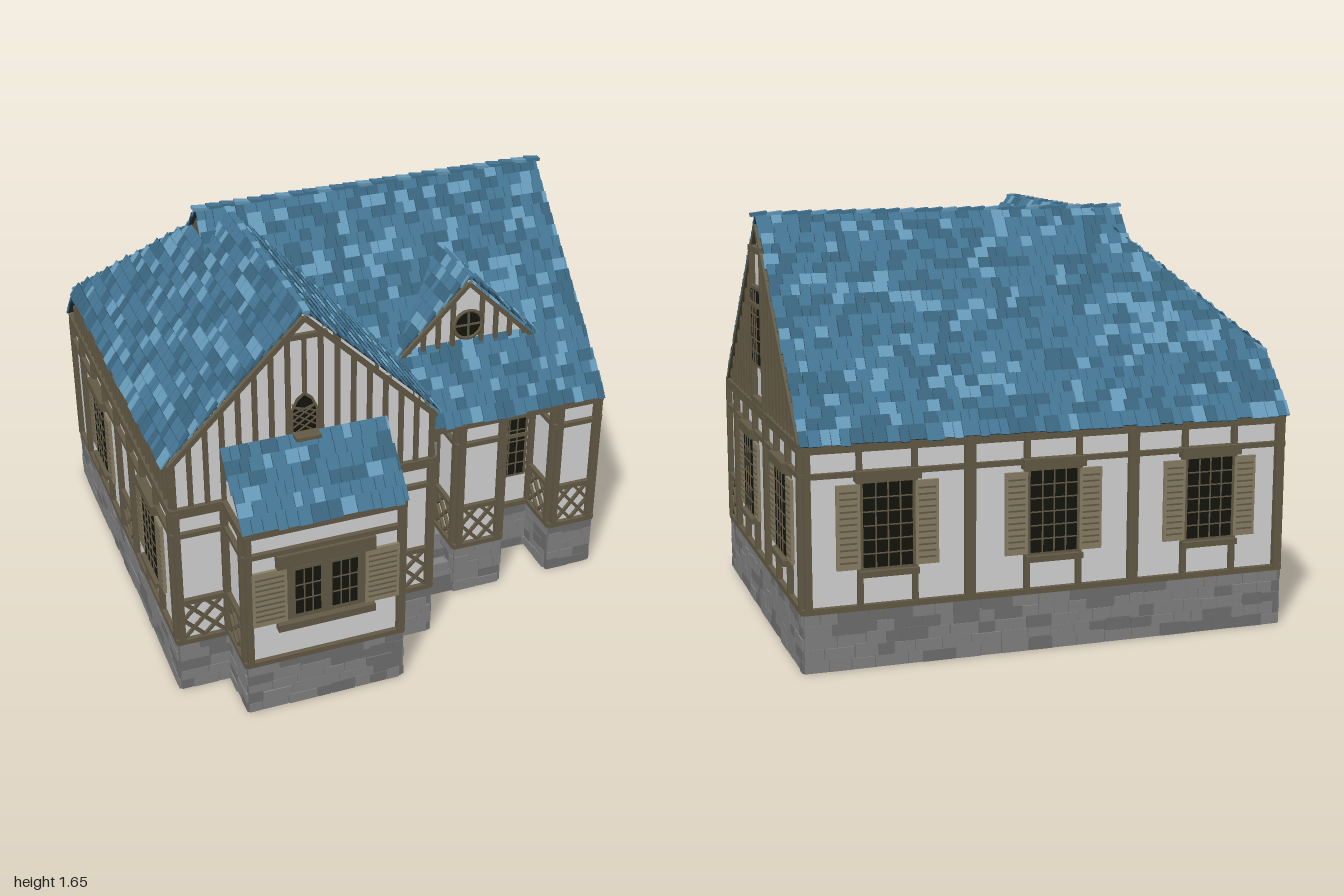
import * as THREE from 'three';
import { mergeGeometries } from 'three/addons/utils/BufferGeometryUtils.js';

const mat = (name, color, side = THREE.FrontSide) => {
  const m = new THREE.MeshStandardMaterial({ color, side });
  m.name = name;
  return m;
};

export function createModel() {
  const M = {
    plaster: mat('plaster', 0xdad9d9, THREE.DoubleSide),
    timber: mat('timber', 0x655c47),
    shutter: mat('shutter', 0x8d8269),
    stone: mat('stone', 0x848484),
    stoneDark: mat('darkStone', 0x727272),
    slate: mat('slate', 0x457796),
    slateLight: mat('lightSlate', 0x689dbc),
    slateDark: mat('darkSlate', 0x3a6680),
    seam: mat('seam', 0x2b3f4a, THREE.DoubleSide),
    glass: mat('glass', 0x15150f),
  };
  let seed = 7;
  const rnd = () => (seed = (seed * 16807) % 2147483647) / 2147483647;
  const V = (x, y, z) => new THREE.Vector3(x, y, z);

  // Collect geometry per part and colour, merged at the end
  const parts = new Map();
  const add = (name, m, geo) => {
    const key = name + '|' + m;
    if (!parts.has(key)) parts.set(key, []);
    parts.get(key).push(geo);
  };

  // A wall face: u runs along the wall, v is up, w is outward from distance d
  const face = (name, turn, d) => ({ name, d, rot: new THREE.Matrix4().makeRotationY(turn * Math.PI / 2) });
  const put = (f, part, m, geo, u = 0, v = 0, w = 0) =>
    add(f.name + part, m, geo.translate(u, v, f.d + w).applyMatrix4(f.rot));
  const box = (f, part, m, u0, u1, v0, v1, w0, w1) =>
    put(f, part, m, new THREE.BoxGeometry(u1 - u0, v1 - v0, w1 - w0), (u0 + u1) / 2, (v0 + v1) / 2, (w0 + w1) / 2);
  const bar = (f, part, m, u0, v0, u1, v1, width, w) =>
    put(f, part, m, new THREE.BoxGeometry(Math.hypot(u1 - u0, v1 - v0), width, w)
      .rotateZ(Math.atan2(v1 - v0, u1 - u0)), (u0 + u1) / 2, (v0 + v1) / 2, w / 2);
  const shape = pts => new THREE.ShapeGeometry(new THREE.Shape(pts.map(p => new THREE.Vector2(p[0], p[1]))));
  const wall = (f, pts, m = 'plaster') => put(f, 'Wall', m, shape(pts));

  // Rubble foundation: rows of uneven stones on a dark bed
  const stones = (f, u0, u1, top = 0.225) => {
    box(f, 'Foundation', 'stoneDark', u0 - 0.008, u1 + 0.008, 0, top, 0, 0.01);
    const rows = Math.round(top / 0.045), h = top / rows;
    for (let r = 0; r < rows; r++) {
      for (let u = u0 - 0.01; u < u1;) {
        const e = Math.min(u1 + 0.01, u + 0.05 + rnd() * 0.08), j = rnd() * 0.012;
        if (e - u > 0.02) box(f, 'Foundation', rnd() < 0.3 ? 'stoneDark' : 'stone', u + 0.002, e - 0.002,
          r * h + 0.002, Math.min(top, (r + 1) * h - 0.002 + j), 0.01, 0.014 + rnd() * 0.005);
        u = e;
      }
    }
  };
  const rails = (f, u0, u1) => [[0.225, 0.247], [0.732, 0.752], [0.825, 0.865]].forEach(([a, b]) =>
    box(f, 'Timber', 'timber', u0 - 0.012, u1 + 0.012, a, b, 0, 0.02));
  const posts = (f, us, width = 0.026, v0 = 0.235, v1 = 0.845) => us.forEach(u =>
    box(f, 'Timber', 'timber', u - width / 2, u + width / 2, v0, v1, -0.005, 0.023));
  // Crossed panel below the window line
  const lattice = (f, u0, u1) => {
    const a = 0.247, b = 0.425, cu = (u0 + u1) / 2, cv = (a + b) / 2;
    box(f, 'Timber', 'timber', u0, u1, 0.415, 0.437, 0, 0.019);
    [[u0, a, u1, b], [u0, b, u1, a], [u0, cv, cu, b], [cu, b, u1, cv], [u1, cv, cu, a], [cu, a, u0, cv]]
      .forEach((p, i) => bar(f, 'Lattice', 'timber', ...p, 0.013, 0.012 + (i % 2) * 0.002));
  };
  const studs = (f, u0, u1, step, top, skip = () => false) => {
    const n = Math.round((u1 - u0) / step);
    for (let i = 0; i <= n; i++) {
      const u = u0 + (u1 - u0) * i / n;
      if (!skip(u) && top(u) > 0.9) box(f, 'Studs', 'timber', u - 0.0095, u + 0.0095, 0.86, top(u), 0, 0.013);
    }
  };
  // Glazed window with glazing bars
  const glazing = (f, u, v0, v1, w, cols, rows) => {
    box(f, 'Windows', 'timber', u - w / 2, u + w / 2, v0, v1, -0.02, 0.02);
    const a = u - w / 2 + 0.014, b = u + w / 2 - 0.014, c = v0 + 0.014, d = v1 - 0.014;
    box(f, 'Windows', 'glass', a, b, c, d, 0.02, 0.024);
    for (let i = 1; i < cols; i++) bar(f, 'Windows', 'timber', a + (b - a) * i / cols, c, a + (b - a) * i / cols, d, 0.005, 0.028);
    for (let i = 1; i < rows; i++) bar(f, 'Windows', 'timber', a, c + (d - c) * i / rows, b, c + (d - c) * i / rows, 0.005, 0.027);
  };
  const shutter = (f, u0, u1, v0, v1) => {
    box(f, 'Shutters', 'shutter', u0, u1, v0, v1, 0.012, 0.024);
    for (let v = v0 + 0.025; v < v1 - 0.02; v += 0.024)
      box(f, 'Shutters', 'timber', u0 + 0.012, u1 - 0.012, v, v + 0.006, 0.024, 0.028);
  };
  const shuttered = (f, u) => {
    posts(f, [u - 0.105, u + 0.105], 0.02);
    glazing(f, u, 0.375, 0.72, 0.215, 4, 6);
    for (const s of [-1, 1]) shutter(f, u + s * 0.15 - 0.045, u + s * 0.15 + 0.045, 0.385, 0.705);
    box(f, 'Windows', 'timber', u - 0.125, u + 0.125, 0.715, 0.755, 0, 0.04);
    box(f, 'Windows', 'timber', u - 0.115, u + 0.115, 0.355, 0.378, 0, 0.04);
  };

  // Wing front with its gable
  const wing = face('wingFront', 0, 0.73);
  const wingTop = u => 1.585 - Math.abs(u + 0.43) * 0.98;
  wall(wing, [[-0.96, 0], [-0.75, 0], [-0.75, 0.86], [-0.12, 0.86], [-0.12, 0], [0.1, 0], [0.1, 1.07], [-0.43, 1.6], [-0.96, 1.07]]);
  stones(wing, -0.96, -0.75); stones(wing, -0.12, 0.1);
  rails(wing, -0.96, 0.1);
  posts(wing, [-0.955, -0.765, -0.105, 0.095]);
  lattice(wing, -0.945, -0.775); lattice(wing, -0.095, 0.085);
  studs(wing, -0.955, 0.095, 0.066, wingTop, u => Math.abs(u + 0.43) < 0.06);
  bar(wing, 'Timber', 'timber', -0.43, 1.27, -0.43, 1.5, 0.016, 0.013);
  box(wing, 'Timber', 'timber', -0.52, -0.34, 1.5, 1.52, 0, 0.018);
  for (const s of [-1, 1]) bar(wing, 'Timber', 'timber', -0.43, 1.585, -0.43 + s * 0.54, 1.055, 0.02, 0.02);
  const arch = (k, b) => [[-k, b], [k, b], [k, 0.1], [k * 0.6, 0.1 + k * 0.9], [0, 0.1 + k * 1.4], [-k * 0.6, 0.1 + k * 0.9], [-k, 0.1]];
  put(wing, 'ArchWindow', 'timber', shape(arch(0.056, 0)), -0.435, 1.1, 0.015);
  put(wing, 'ArchWindow', 'glass', shape(arch(0.045, 0.01)), -0.435, 1.1, 0.018);
  for (let i = 0; i < 4; i++) for (const s of [-1, 1])
    bar(wing, 'ArchWindow', 'timber', -0.435 - s * 0.045, 1.1 + i * 0.03, -0.435 + s * 0.045, 1.16 + i * 0.03 - (i > 2 ? 0.03 : 0), 0.005, 0.022);
  box(wing, 'ArchWindow', 'timber', -0.485, -0.385, 1.095, 1.11, 0, 0.07);

  // Bay with its wide shuttered window
  const bay = face('bayFront', 0, 0.96);
  wall(bay, [[-0.75, 0], [-0.12, 0], [-0.12, 0.86], [-0.75, 0.86]]);
  stones(bay, -0.75, -0.12); rails(bay, -0.75, -0.12);
  posts(bay, [-0.745, -0.125]);
  box(bay, 'Windows', 'timber', -0.6, -0.27, 0.42, 0.67, -0.02, 0.018);
  for (const u of [-0.51, -0.36]) glazing(bay, u, 0.43, 0.66, 0.13, 3, 3);
  shutter(bay, -0.735, -0.595, 0.42, 0.67); shutter(bay, -0.275, -0.135, 0.42, 0.67);
  box(bay, 'Windows', 'timber', -0.635, -0.235, 0.67, 0.73, 0, 0.03);
  box(bay, 'Windows', 'timber', -0.635, -0.235, 0.38, 0.412, 0, 0.035);
  for (const [turn, d, s] of [[1, -0.12, -1], [-1, 0.75, 1]]) {
    const f = face('baySide', turn, d), a = Math.min(s * 0.73, s * 0.96), b = a + 0.23;
    wall(f, [[s * 0.73, 0], [s * 0.96, 0], [s * 0.96, 0.86], [s * 0.73, 1.08]]);
    stones(f, a, b); rails(f, a, b); posts(f, [a + 0.01, b - 0.01]); lattice(f, a + 0.02, b - 0.02);
  }

  // Wing return wall beside the porch
  const ret = face('wingReturn', 1, 0.1);
  wall(ret, [[-0.73, 0], [-0.31, 0], [-0.31, 1.07], [-0.73, 1.07]]);
  stones(ret, -0.73, -0.31); rails(ret, -0.73, -0.31);
  posts(ret, [-0.72, -0.53, -0.32]); lattice(ret, -0.71, -0.54);
  studs(ret, -0.72, -0.54, 0.06, () => 1.07);

  // Main front wall, dormer gable, door and steps
  const main = face('mainFront', 0, 0.31);
  wall(main, [[0.1, 0], [0.96, 0], [0.96, 1.07], [0.74, 1.08], [0.43, 1.39], [0.11, 1.08]]);
  stones(main, 0.52, 0.77); rails(main, 0.1, 0.96);
  posts(main, [0.115, 0.315, 0.53, 0.76]);
  glazing(main, 0.645, 0.39, 0.7, 0.18, 4, 5);
  box(main, 'Windows', 'timber', 0.555, 0.735, 0.595, 0.612, 0.02, 0.032);
  studs(main, 0.17, 0.69, 0.065, u => 1.38 - Math.abs(u - 0.43), u => Math.abs(u - 0.43) < 0.05);
  for (const s of [-1, 1]) bar(main, 'DormerTrim', 'timber', 0.43, 1.375, 0.43 + s * 0.31, 1.07, 0.018, 0.02);
  put(main, 'RoundWindow', 'glass', new THREE.CircleGeometry(0.062, 24), 0.43, 1.19, 0.016);
  put(main, 'RoundWindow', 'timber', new THREE.TorusGeometry(0.063, 0.008, 6, 24), 0.43, 1.19, 0.016);
  bar(main, 'RoundWindow', 'timber', 0.37, 1.19, 0.49, 1.19, 0.009, 0.02);
  bar(main, 'RoundWindow', 'timber', 0.43, 1.13, 0.43, 1.25, 0.009, 0.021);
  box(main, 'DoorFrame', 'stone', 0.125, 0.302, 0.225, 0.65, -0.01, 0.03);
  box(main, 'Door', 'timber', 0.145, 0.29, 0.225, 0.625, 0.03, 0.038);
  box(main, 'DoorHandle', 'glass', 0.262, 0.272, 0.39, 0.45, 0.038, 0.05);
  [[0.22, 0.09], [0.175, 0.135], [0.13, 0.18], [0.09, 0.215]].forEach(([v, w], i) =>
    box(main, 'Steps', i % 2 ? 'stoneDark' : 'stone', 0.11, 0.32, v - 0.045 - (i === 3 ? 0.045 : 0), v, 0, w));

  // Two porch piers carrying the low eave
  const pier = face('pierFront', 0, 0.52);
  for (const [a, b] of [[0.32, 0.52], [0.77, 0.96]]) {
    wall(pier, [[a, 0], [b, 0], [b, 0.86], [a, 0.86]]);
    stones(pier, a, b); posts(pier, [a + 0.01, b - 0.01]); rails(pier, a, b); lattice(pier, a + 0.02, b - 0.02);
    for (const [turn, d, s] of [[1, b, -1], [-1, -a, 1]]) {
      if (d === 0.96) continue;
      const f = face('pierSide', turn, d), lo = Math.min(s * 0.31, s * 0.52), hi = lo + 0.21;
      wall(f, [[s * 0.31, 0], [s * 0.52, 0], [s * 0.52, 0.86], [s * 0.31, 1.07]]);
      stones(f, lo, hi); rails(f, lo, hi); posts(f, [lo + 0.01, hi - 0.01]); lattice(f, lo + 0.02, hi - 0.02);
    }
  }
  box(pier, 'EaveBeam', 'timber', 0.1, 0.96, 0.825, 0.86, -0.02, 0.02);

  // Right side with the big gable
  const right = face('right', 1, 0.96);
  const rightTop = u => 1.6 - Math.abs(u - 0.22);
  wall(right, [[-0.52, 0], [0.96, 0], [0.96, 0.86], [0.22, 1.6], [-0.52, 0.86]]);
  stones(right, -0.52, 0.96); rails(right, -0.52, 0.96);
  posts(right, [-0.51, 0.95]); posts(right, [-0.32, 0.33], 0.04);
  lattice(right, -0.5, -0.34); shuttered(right, 0); shuttered(right, 0.65);
  studs(right, -0.45, 0.89, 0.067, rightTop, u => Math.abs(u - 0.22) < 0.1);
  posts(right, [0.115, 0.325], 0.02, 0.86, 1.49);
  box(right, 'Timber', 'timber', 0.11, 0.33, 1.485, 1.51, 0, 0.026);
  box(right, 'Timber', 'timber', 0.11, 0.33, 0.875, 0.9, 0, 0.026);
  glazing(right, 0.22, 1.03, 1.35, 0.18, 4, 6);
  box(right, 'Windows', 'timber', 0.13, 0.31, 1.27, 1.287, 0.02, 0.032);
  for (const s of [-1, 1]) bar(right, 'Timber', 'timber', 0.22, 1.59, 0.22 + s * 0.74, 0.85, 0.02, 0.02);

  // Back wall
  const back = face('back', 2, 0.96);
  wall(back, [[-0.96, 0], [0.96, 0], [0.96, 0.86], [-0.96, 0.86]]);
  stones(back, -0.96, 0.96); rails(back, -0.96, 0.96);
  posts(back, [-0.95, 0.95]); posts(back, [-0.33, 0.33], 0.04);
  [-0.65, 0, 0.65].forEach(u => shuttered(back, u));

  // Left wall, taller under the wing eave
  const left = face('left', -1, 0.96);
  wall(left, [[-0.96, 0], [0.73, 0], [0.73, 1.07], [-0.76, 1.07], [-0.96, 0.86]]);
  stones(left, -0.96, 0.73); rails(left, -0.96, 0.73);
  posts(left, [-0.95, -0.76, -0.12, 0.1, 0.72]);
  lattice(left, -0.11, 0.09); shuttered(left, -0.43); shuttered(left, 0.41);
  studs(left, -0.94, 0.72, 0.067, u => Math.min(1.07, 1.82 + u));
  wall(face('gablet', -1, 0.545), [[-0.36, 1.48], [-0.08, 1.48], [-0.22, 1.62]], 'timber');

  // Shingled roof slope over a planar polygon; axis is the direction of the courses
  const slope = (name, pts, axis) => {
    const P = pts.map(p => V(...p)), O = P[0], N = V(0, 0, 0);
    P.forEach((p, i) => N.add(p.clone().cross(P[(i + 1) % P.length])));
    N.normalize();
    if (N.y < 0) N.negate();
    const A = axis.clone(), S = N.clone().cross(A);
    if (S.y < 0) { A.negate(); S.negate(); }
    const q = P.map(p => p.clone().sub(O)).map(p => [p.dot(A), p.dot(S)]);
    const B = new THREE.Matrix4().makeBasis(A, S, N).setPosition(O);
    add(name, 'seam', shape(q).applyMatrix4(B));
    const t0 = Math.min(...q.map(p => p[1])), t1 = Math.max(...q.map(p => p[1]));
    const rows = Math.round((t1 - t0) / 0.052), h = (t1 - t0) / rows;
    for (let r = 0; r < rows; r++) {
      const t = t0 + (r + 0.5) * h, xs = [];
      q.forEach((a, i) => {
        const b = q[(i + 1) % q.length];
        if ((a[1] > t) !== (b[1] > t)) xs.push(a[0] + (b[0] - a[0]) * (t - a[1]) / (b[1] - a[1]));
      });
      const hi = Math.max(...xs);
      for (let u = Math.min(...xs) - rnd() * 0.01; u < hi;) {
        const e = Math.min(hi + 0.006, u + 0.032 + rnd() * 0.036), k = rnd(), drop = rnd() * 0.012;
        if (e - u > 0.006) add(name, k < 0.18 ? 'slateLight' : k < 0.5 ? 'slateDark' : 'slate',
          new THREE.BoxGeometry(e - u - 0.003, h + 0.008 + drop, 0.007).rotateX(0.14 + rnd() * 0.06)
            .translate((u + e) / 2, t - drop / 2, 0.009).applyMatrix4(B));
        u = e;
      }
    }
  };
  const X = V(1, 0, 0), Z = V(0, 0, 1);
  slope('backRoof', [[0.97, 0.86, -0.985], [-0.98, 0.86, -0.985], [-0.98, 1.065, -0.78], [-0.56, 1.485, -0.36], [-0.56, 1.625, -0.22], [0.97, 1.625, -0.22]], X);
  slope('frontRoof', [[0.12, 0.86, 0.545], [0.97, 0.86, 0.545], [0.97, 1.625, -0.22], [-0.56, 1.625, -0.22], [-0.56, 1.485, -0.08], [0.12, 1.075, 0.33]], X);
  slope('wingRoofLeft', [[-0.99, 1.07, 0.75], [-0.43, 1.615, 0.75], [-0.43, 1.615, -0.22], [-0.56, 1.488, -0.36], [-0.99, 1.07, -0.78]], Z);
  slope('wingRoofRight', [[0.12, 1.08, 0.75], [-0.43, 1.615, 0.75], [-0.43, 1.615, -0.22], [0.12, 1.08, 0.33]], Z);
  slope('bayRoof', [[-0.765, 0.86, 0.98], [-0.105, 0.86, 0.98], [-0.105, 1.09, 0.74], [-0.765, 1.09, 0.74]], X);
  for (const s of [-1, 1]) slope('dormerRoof', [[0.43 + s * 0.325, 1.085, 0.33], [0.43, 1.405, 0.33], [0.43, 1.405, 0]], Z);

  // Ridge and hip caps
  const caps = (a, b, width) => {
    const d = b.clone().sub(a), n = Math.round(d.length() / 0.06), step = d.length() / n;
    const z = d.clone().normalize(), x = V(0, 1, 0).cross(z).normalize();
    for (let i = 0; i < n; i++) add('ridgeCaps', i % 3 ? 'slate' : 'slateLight',
      new THREE.BoxGeometry(width, 0.014, step + 0.006).rotateX(0.12).applyMatrix4(
        new THREE.Matrix4().makeBasis(x, z.clone().cross(x), z).setPosition(a.clone().addScaledVector(z, (i + 0.5) * step))));
  };
  caps(V(-0.57, 1.637, -0.22), V(0.99, 1.637, -0.22), 0.034);
  caps(V(-0.43, 1.625, -0.2), V(-0.43, 1.625, 0.77), 0.026);
  caps(V(-0.98, 1.08, -0.78), V(-0.56, 1.5, -0.36), 0.014);
  caps(V(0.43, 1.412, 0.01), V(0.43, 1.412, 0.335), 0.02);

  const group = new THREE.Group();
  group.name = 'house';
  for (const [key, geos] of parts) {
    const [name, m] = key.split('|');
    const mesh = new THREE.Mesh(mergeGeometries(geos), M[m]);
    mesh.name = name;
    group.add(mesh);
  }
  return group;
}
